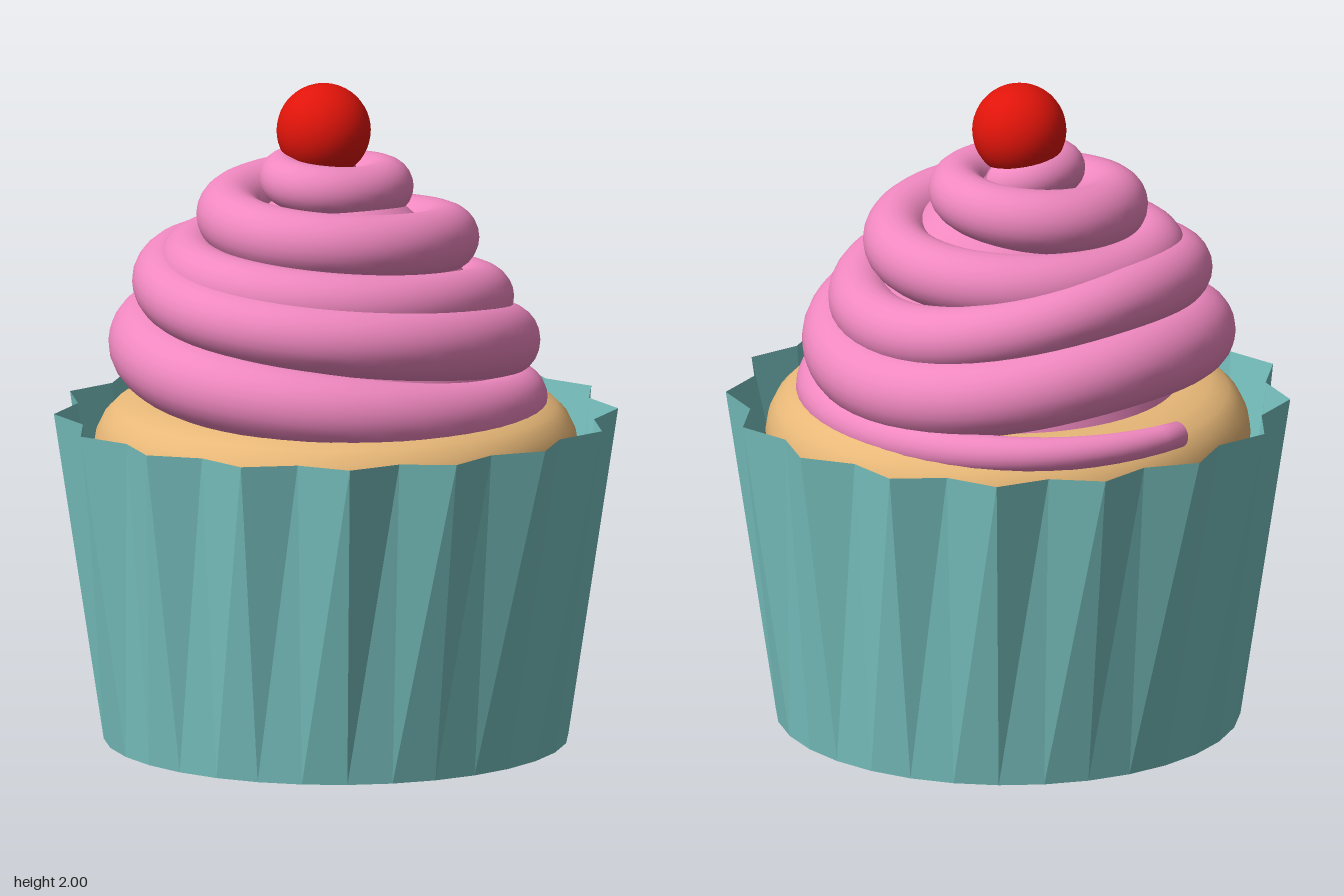
import * as THREE from 'three';

const material = (color, extra = {}) => new THREE.MeshStandardMaterial({ color, ...extra });

function addMesh(group, name, geometry, mat) {
  const mesh = new THREE.Mesh(geometry, mat);
  mesh.name = name;
  group.add(mesh);
  return mesh;
}

// Pleated wall: round at the foot, a 16-pointed star at the rim
function wrapperWall() {
  const geo = new THREE.CylinderGeometry(0.85, 0.7, 1, 32, 1, true);
  geo.translate(0, 0.5, 0);
  const pos = geo.attributes.position;
  for (let i = 0; i < pos.count; i++) {
    if (pos.getY(i) > 0.5 && (i % 33) % 2 === 1) {
      const s = 0.785 / 0.85;
      pos.setX(i, pos.getX(i) * s);
      pos.setZ(i, pos.getZ(i) * s);
    }
  }
  geo.computeVertexNormals();
  return geo;
}

// Piped spiral: one [outer radius, centre height, tube radius] per quarter turn,
// starting at -x and running by the back, +x and the front
const SPIRAL = [
  [0.71, 1.04, 0.04], [0.66, 1.03, 0.07], [0.665, 1.06, 0.1], [0.68, 1.16, 0.12],
  [0.65, 1.24, 0.12], [0.66, 1.16, 0.12], [0.62, 1.27, 0.11], [0.62, 1.36, 0.1],
  [0.57, 1.43, 0.1], [0.58, 1.32, 0.1], [0.54, 1.38, 0.1], [0.54, 1.44, 0.1],
  [0.49, 1.47, 0.1], [0.48, 1.5, 0.1], [0.43, 1.55, 0.1], [0.42, 1.59, 0.1],
  [0.37, 1.63, 0.1], [0.29, 1.67, 0.09], [0.23, 1.69, 0.08], [0.23, 1.715, 0.075],
  [0.18, 1.73, 0.07], [0.13, 1.7, 0.07],
];

function frostingSpiral() {
  const quarters = SPIRAL.length - 1;
  const curve = new THREE.CatmullRomCurve3(SPIRAL.map((p) => new THREE.Vector3(...p)), false, 'catmullrom', 0.5);
  const steps = quarters * 14, sides = 24;
  const positions = [], index = [];
  // The first and last rows shrink to a point and close the ends
  for (let row = 0; row <= steps + 2; row++) {
    const u = THREE.MathUtils.clamp(row - 1, 0, steps) / steps;
    const { x: outer, y, z: tube } = curve.getPoint(u);
    const angle = u * quarters * Math.PI / 2 - 0.08 * (1 - u);
    const r = row === 0 || row === steps + 2 ? 0 : tube;
    for (let j = 0; j < sides; j++) {
      const phi = (j / sides) * Math.PI * 2;
      const radius = outer - tube + r * Math.cos(phi);
      positions.push(-0.03 - radius * Math.cos(angle), y + r * Math.sin(phi), -radius * Math.sin(angle));
      if (row < steps + 2) {
        const a = row * sides + j, b = row * sides + (j + 1) % sides;
        index.push(a, b, a + sides, b, b + sides, a + sides);
      }
    }
  }
  const geo = new THREE.BufferGeometry();
  geo.setAttribute('position', new THREE.Float32BufferAttribute(positions, 3));
  geo.setIndex(index);
  geo.computeVertexNormals();
  return geo;
}

const lathe = (points) => new THREE.LatheGeometry(points.map((p) => new THREE.Vector2(...p)), 64);

export function createModel() {
  const model = new THREE.Group();
  model.name = 'cupcake';

  // Paper wrapper
  const paper = material(0x78c2c0, { flatShading: true, side: THREE.DoubleSide });
  addMesh(model, 'wrapperWall', wrapperWall(), paper);
  const base = addMesh(model, 'wrapperBase', new THREE.CircleGeometry(0.7, 32), paper);
  base.rotation.x = Math.PI / 2;

  // Cake with a rounded shoulder
  addMesh(model, 'cake', lathe([
    [0, 0.03], [0.66, 0.03], [0.725, 0.84], [0.73, 0.89], [0.722, 0.94],
    [0.7, 0.985], [0.665, 1.02], [0.61, 1.045], [0.53, 1.055], [0, 1.06],
  ]), material(0xe8b878));

  // Frosting, with a core that fills the middle of the spiral
  const icing = material(0xf088c0);
  addMesh(model, 'frostingSpiral', frostingSpiral(), icing);
  addMesh(model, 'frostingCore', lathe([[0.52, 1.03], [0.46, 1.3], [0.33, 1.52], [0.14, 1.69], [0, 1.72]]), icing);

  // Cherry
  const cherry = addMesh(model, 'cherry', new THREE.SphereGeometry(0.142, 32, 24), material(0xe0140a));
  cherry.position.set(-0.05, 1.858, 0);

  return model;
}
